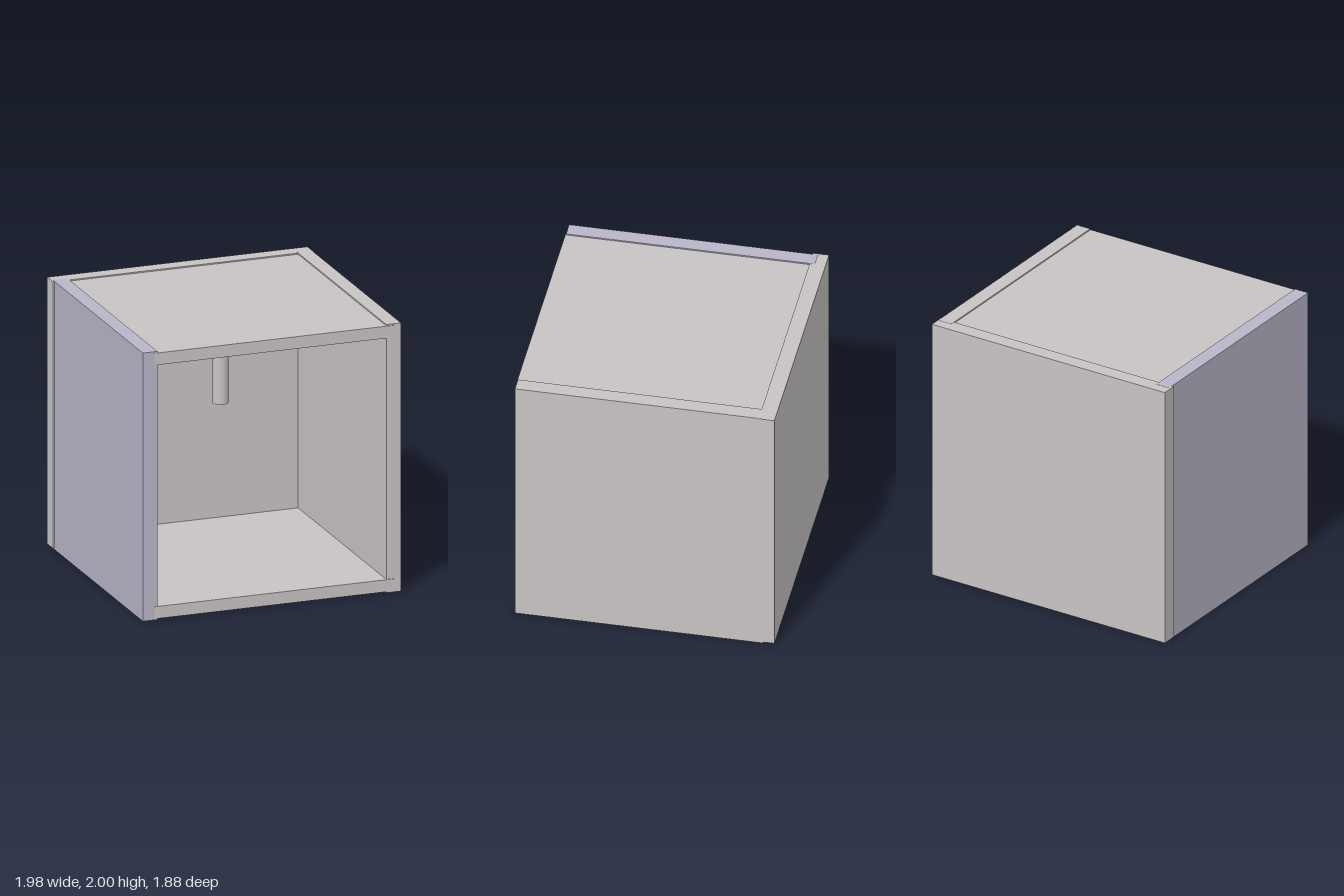
import * as THREE from 'three';

export function createModel() {
  const group = new THREE.Group();
  const grey = new THREE.MeshStandardMaterial({ color: 0xc8c4c3 });
  grey.name = 'warm grey';
  const lavender = new THREE.MeshStandardMaterial({ color: 0xb8b6c8 });
  lavender.name = 'lavender';

  // Adds a board spanning the given limits on each axis
  function board(name, [x0, x1], [y0, y1], [z0, z1], material) {
    const mesh = new THREE.Mesh(new THREE.BoxGeometry(x1 - x0, y1 - y0, z1 - z0), material);
    mesh.position.set((x0 + x1) / 2, (y0 + y1) / 2, (z0 + z1) / 2);
    mesh.name = name;
    group.add(mesh);
  }

  // Upright panels: the back sits a little higher, the sides are let into it
  board('backPanel', [-0.988, 0.987], [0.012, 1.999], [-0.943, -0.828], grey);
  board('rightSidePanel', [-0.974, -0.863], [0, 2], [-0.865, 0.934], lavender);
  board('leftSidePanel', [0.873, 0.984], [0, 2], [-0.865, 0.934], grey);

  // Top and bottom panels, their edges let into the sides
  for (const [name, y] of [['bottomPanel', [0.01, 0.1]], ['topPanel', [1.9, 1.99]]]) {
    board(name, [-0.887, 0.93], y, [-0.865, 0.94], grey);
  }

  // Round peg hanging from the top panel
  const peg = new THREE.Mesh(new THREE.CylinderGeometry(0.057, 0.057, 0.72, 32), grey);
  peg.position.set(-0.002, 1.575, -0.075);
  peg.name = 'hangingPeg';
  group.add(peg);

  return group;
}
